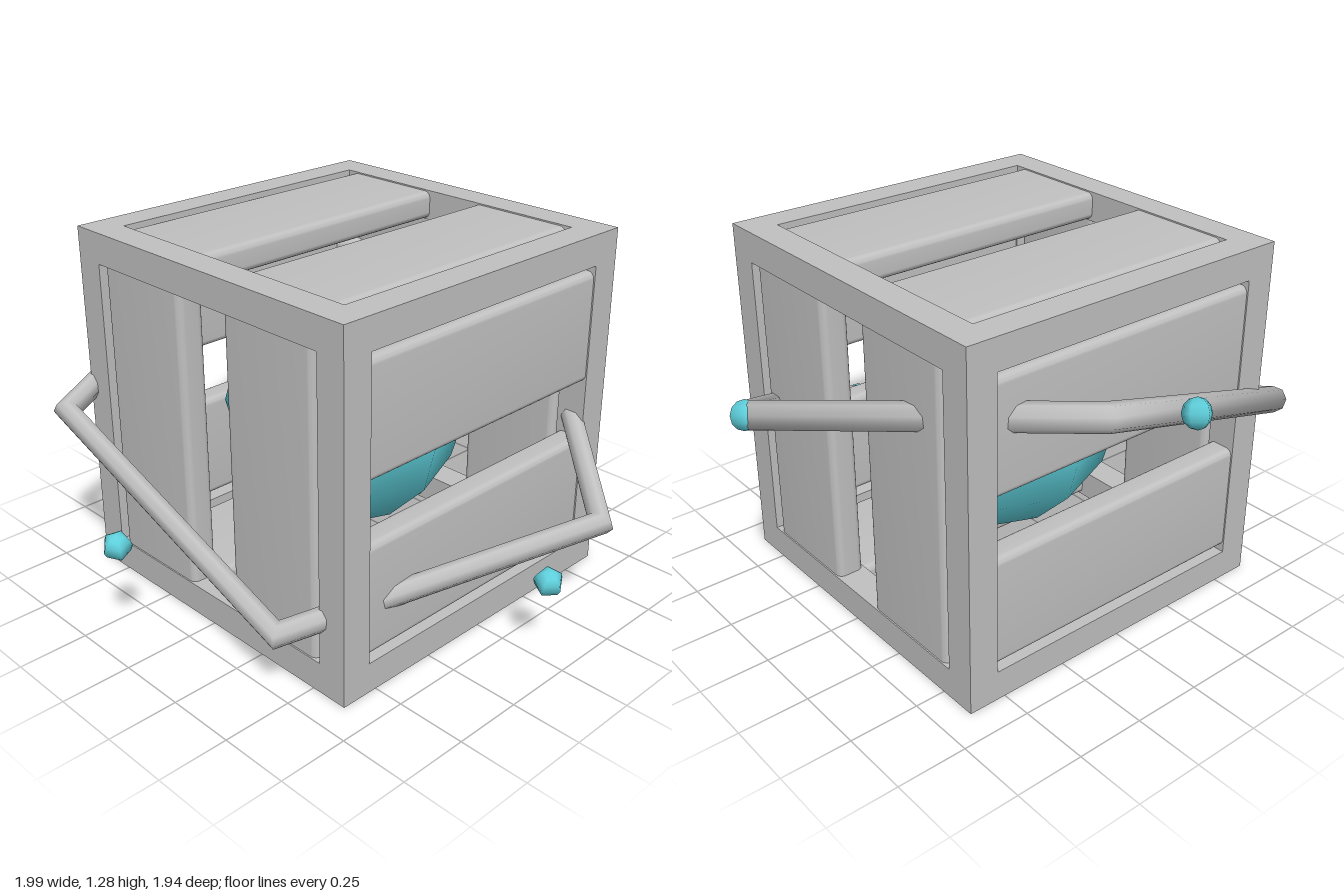
import * as THREE from 'three';
import { toCreasedNormals } from 'three/addons/utils/BufferGeometryUtils.js';

const HALF = 0.64;   // half the cube's edge
const BAR = 0.11;    // frame bar thickness
const INNER = 2 * (HALF - BAR);
const RING = 0.98;   // ring radius

// Plank lying along x, facing +z, with its four long edges rounded
function plankGeometry(length, width, thick, r) {
  const a = width / 2, b = thick / 2;
  const s = new THREE.Shape();
  s.absarc(a - r, b - r, r, 0, Math.PI / 2, false);
  s.absarc(-a + r, b - r, r, Math.PI / 2, Math.PI, false);
  s.absarc(-a + r, -b + r, r, Math.PI, Math.PI * 1.5, false);
  s.absarc(a - r, -b + r, r, Math.PI * 1.5, Math.PI * 2, false);
  const g = new THREE.ExtrudeGeometry(s, { depth: length, bevelEnabled: false, curveSegments: 4 });
  g.translate(0, 0, -length / 2);
  g.rotateZ(Math.PI / 2);
  g.rotateY(Math.PI / 2);   // length to x
  g.rotateX(Math.PI / 2);   // width to y, thickness to z
  g.computeBoundingBox();
  const size = g.boundingBox.getSize(new THREE.Vector3());
  if (size.y < size.z) g.rotateX(Math.PI / 2);
  return toCreasedNormals(g, Math.PI / 5);
}

export function createModel() {
  const model = new THREE.Group();
  model.name = 'caged core';
  const metal = new THREE.MeshStandardMaterial({ color: 0xc0c0c0 });
  metal.name = 'grey metal';
  const glow = new THREE.MeshStandardMaterial({ color: 0x5fd0dc });
  glow.name = 'cyan';

  const body = new THREE.Group();
  body.name = 'body';
  body.position.y = HALF;
  model.add(body);

  const add = (parent, name, geometry, material) => {
    const m = new THREE.Mesh(geometry, material);
    m.name = name;
    parent.add(m);
    return m;
  };

  // Cube frame: four posts, with beams fitted between them
  const frame = new THREE.Group();
  frame.name = 'frame';
  body.add(frame);
  const c = HALF - BAR / 2;
  const post = new THREE.BoxGeometry(BAR, 2 * HALF, BAR);
  const beamX = new THREE.BoxGeometry(INNER, BAR, BAR);
  const beamZ = new THREE.BoxGeometry(BAR, BAR, INNER);
  for (const i of [-c, c]) {
    for (const j of [-c, c]) {
      add(frame, 'post', post, metal).position.set(i, 0, j);
      add(frame, 'crossBeam', beamX, metal).position.set(0, i, j);
      add(frame, 'sideBeam', beamZ, metal).position.set(i, j, 0);
    }
  }

  // Two planks on each of the six faces
  const plank = plankGeometry(INNER, 0.4, 0.1, 0.025);
  const q = Math.PI / 2;
  const faces = {
    front: [0, 0, 0], top: [-q, 0, 0], back: [2 * q, 0, 0], bottom: [q, 0, 0],
    left: [0, q, q], right: [0, -q, q],
  };
  for (const [face, rotation] of Object.entries(faces)) {
    const panel = new THREE.Group();
    panel.name = face + 'Panel';
    panel.rotation.set(...rotation);
    body.add(panel);
    // upright planks run along the panel's own x axis after the turn
    for (const side of [-1, 1]) {
      add(panel, 'plank', plank, metal).position.set(0, side * 0.307, 0.585);
    }
  }

  // Glowing core
  add(body, 'core', new THREE.SphereGeometry(0.435, 8, 6), glow);

  // Tilted five-sided ring with four small orbs
  const orbit = new THREE.Group();
  orbit.name = 'orbit';
  orbit.rotation.set(0.35, 0, 0.26);
  body.add(orbit);
  add(orbit, 'ring', new THREE.TorusGeometry(RING, 0.047, 8, 5).rotateX(q), metal);
  const orb = new THREE.SphereGeometry(0.05, 5, 6).rotateY(Math.PI);
  for (let i = 0; i < 4; i++) {
    const arm = new THREE.Group();
    arm.name = 'orbArm';
    arm.rotation.y = i * q;
    orbit.add(arm);
    add(arm, 'orb', orb, glow).position.x = RING;
  }

  return model;
}
